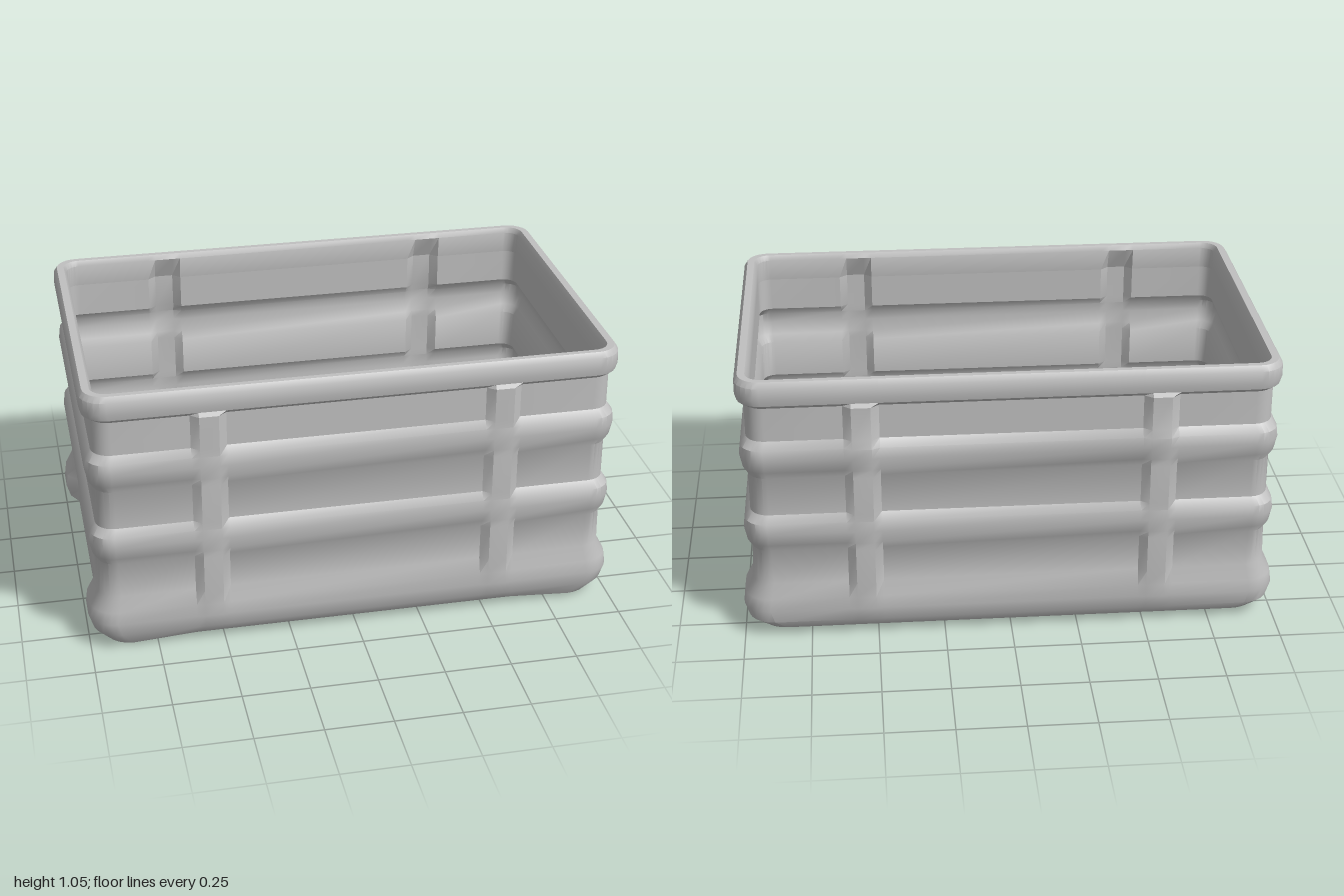
import * as THREE from 'three';
import { toCreasedNormals } from 'three/addons/utils/BufferGeometryUtils.js';

const Z_SHIFT = 0.008;
const THICKNESS = 0.018;

// Wall levels: [y, half width, half depth, corner radius, corner guard bulge]
const rib = (y) => [
  [y - 0.08, 0.955, 0.612, 0.07, 0],
  [y - 0.05, 0.972, 0.628, 0.08, 0],
  [y, 0.982, 0.639, 0.09, 0],
  [y + 0.04, 0.976, 0.634, 0.08, 0],
  [y + 0.07, 0.955, 0.613, 0.07, 0],
];
const wall = [
  [0.07, 0.955, 0.628, 0.1, 0.03],
  [0.12, 0.955, 0.632, 0.1, 0.045],
  [0.17, 0.955, 0.63, 0.1, 0.038],
  [0.23, 0.953, 0.612, 0.08, 0.008],
  ...rib(0.45),
  ...rib(0.75),
  [0.95, 0.955, 0.612, 0.07, 0],
];
const base = [
  [0.015, 0, 0, 0, 0],
  [0.015, 0.89, 0.55, 0.1, 0],
  [0.03, 0.93, 0.6, 0.1, 0.012],
];
const rim = [
  [0.965, 0.98, 0.628, 0.09, 0],
  [0.99, 0.986, 0.633, 0.09, 0],
  [1.035, 0.985, 0.631, 0.09, 0],
  [1.055, 0.972, 0.617, 0.08, 0],
  [1.055, 0.945, 0.596, 0.06, 0],
  [1.035, 0.934, 0.586, 0.05, 0],
];
const inside = wall.map(([y, x, z, r, c]) =>
  [y, x - THICKNESS, z - THICKNESS, r - THICKNESS, c, THICKNESS]).reverse();
const floor = [
  [0.04, 0.9, 0.57, 0.08, 0],
  [0.04, 0, 0, 0, 0],
];

// One quarter of a level, from the short side round the corner to the long side
function quarter([y, x, z, r, guard, inset], sx, sz) {
  if (x === 0) return Array.from({ length: 13 }, () => [0, y, Z_SHIFT]);
  const onWall = y > 0.08 && y < 0.96;
  const bump = sz < 0 && y > 0.72 && y < 0.8 ? 0.648 : 0.637;
  const post = onWall ? Math.max(z, bump - (inset || 0)) : z;
  const gx = x + guard;
  const pts = [[x, 0.39], [gx, 0.44]];
  for (let i = 0; i <= 6; i++) {
    const a = (i / 6) * Math.PI / 2;
    pts.push([gx - r + r * Math.cos(a), z - r + r * Math.sin(a)]);
  }
  pts.push([0.605, z], [0.575, post], [0.505, post], [0.475, z]);
  return pts.map(([px, pz], i) => {
    // Front corner feet reach the ground
    const foot = sz > 0 && y < 0.035 && i > 1 && i < 9 ? 0.015 : 0;
    return [sx * px, y - foot, sz * pz + Z_SHIFT];
  });
}

function ring(level) {
  return [
    ...quarter(level, 1, 1),
    ...quarter(level, -1, 1).reverse(),
    ...quarter(level, -1, -1),
    ...quarter(level, 1, -1).reverse(),
  ];
}

// Skin a stack of levels into one surface
function loft(levels) {
  const rings = levels.map(ring);
  const n = rings[0].length;
  const index = [];
  for (let i = 0; i < rings.length - 1; i++) {
    for (let j = 0; j < n; j++) {
      const a = i * n + j, b = i * n + (j + 1) % n;
      const c = a + n, d = b + n;
      if (levels[i][1] > 0) index.push(a, c, b);
      if (levels[i + 1][1] > 0) index.push(b, c, d);
    }
  }
  const geo = new THREE.BufferGeometry();
  geo.setAttribute('position', new THREE.Float32BufferAttribute(rings.flat(2), 3));
  geo.setIndex(index);
  return toCreasedNormals(geo, 0.6);
}

export function createModel() {
  const group = new THREE.Group();
  group.name = 'crate';
  const metal = new THREE.MeshStandardMaterial({ color: 0xc0c0c0 });
  metal.name = 'grey metal';

  const add = (name, levels) => {
    const mesh = new THREE.Mesh(loft(levels), metal);
    mesh.name = name;
    group.add(mesh);
  };

  const top = wall[wall.length - 1];
  add('outerShell', [...base, ...wall]);
  add('rim', [top, ...rim, inside[0]]);
  add('innerShell', [...inside, ...floor]);
  return group;
}
